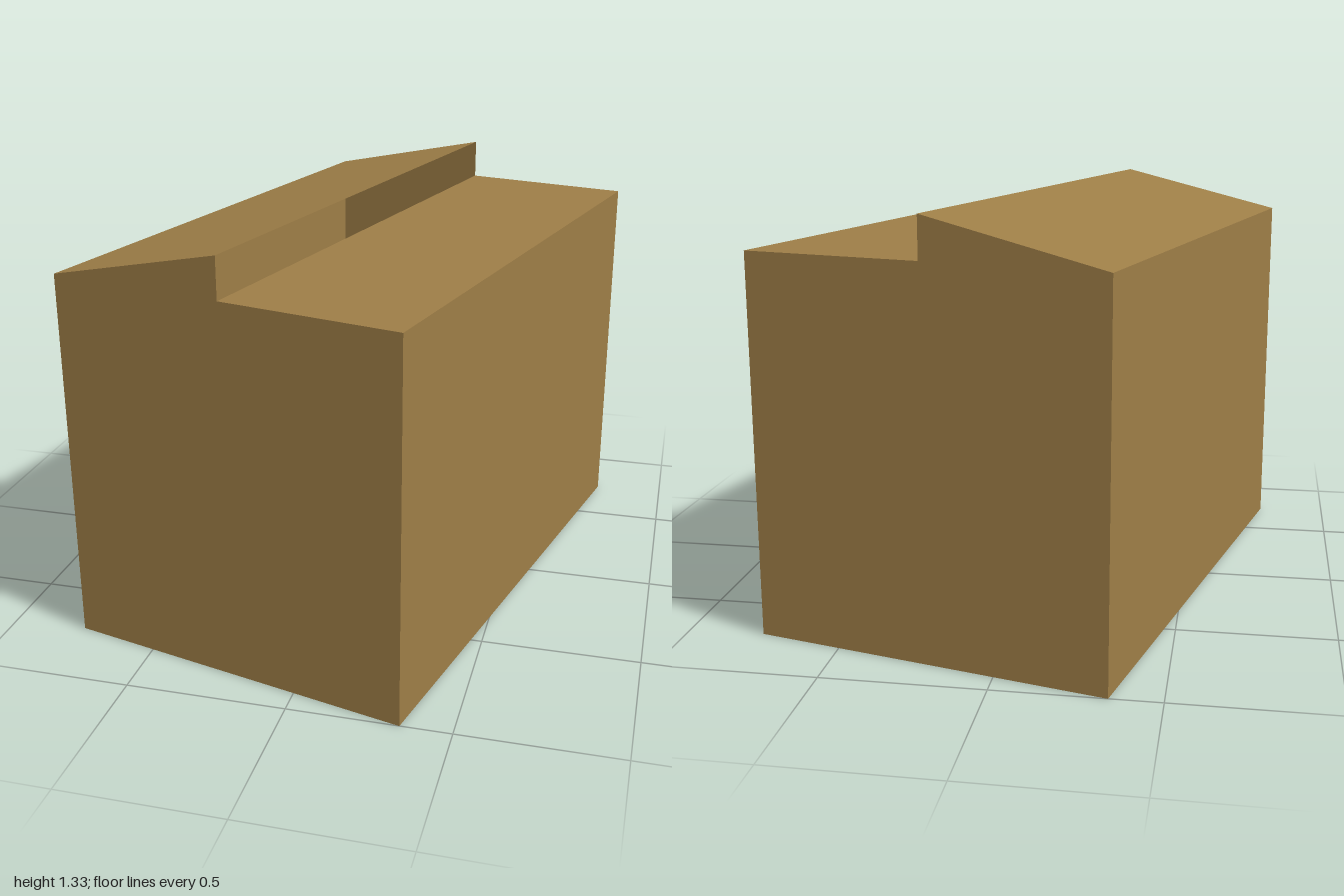
import * as THREE from 'three';

const HALF_W = 0.569, HALF_L = 0.892, EAVES = 1.197, RIDGE = 1.327;

// Cross-section, counter-clockwise seen from the front
const PROFILE = [
  [-HALF_W, 0], [HALF_W, 0], [HALF_W, EAVES], [0, EAVES], [0, RIDGE], [-HALF_W, EAVES],
];

// One panel per profile edge; the step under the ridge stays an open slot
const PANELS = ['floor', 'leftWall', 'flatRoof', null, 'slopedRoof', 'rightWall'];

// Lengthwise rectangle that sweeps one profile edge from front to back
function panelGeometry([ax, ay], [bx, by]) {
  const geometry = new THREE.BufferGeometry();
  geometry.setAttribute('position', new THREE.Float32BufferAttribute([
    ax, ay, HALF_L, ax, ay, -HALF_L, bx, by, -HALF_L, bx, by, HALF_L,
  ], 3));
  geometry.setIndex([0, 1, 2, 0, 2, 3]);
  geometry.computeVertexNormals();
  return geometry;
}

// End wall; side is 1 for the front and -1 for the back
function endGeometry(side) {
  const points = PROFILE.map(([x, y]) => new THREE.Vector2(x * side, y));
  const geometry = new THREE.ShapeGeometry(new THREE.Shape(points));
  geometry.translate(0, 0, HALF_L);
  if (side < 0) geometry.rotateY(Math.PI);
  return geometry;
}

export function createModel() {
  const tan = new THREE.MeshStandardMaterial({ color: 0x9e7e47, side: THREE.DoubleSide });
  tan.name = 'tan';

  const building = new THREE.Group();
  building.name = 'building';
  const add = (name, geometry) => {
    const mesh = new THREE.Mesh(geometry, tan);
    mesh.name = name;
    building.add(mesh);
  };

  PANELS.forEach((name, i) => {
    if (name) add(name, panelGeometry(PROFILE[i], PROFILE[(i + 1) % PROFILE.length]));
  });
  add('frontWall', endGeometry(1));
  add('backWall', endGeometry(-1));

  // The whole hall stands turned on its plot
  building.rotation.y = -0.237;

  const model = new THREE.Group();
  model.name = 'hall';
  model.add(building);
  return model;
}
